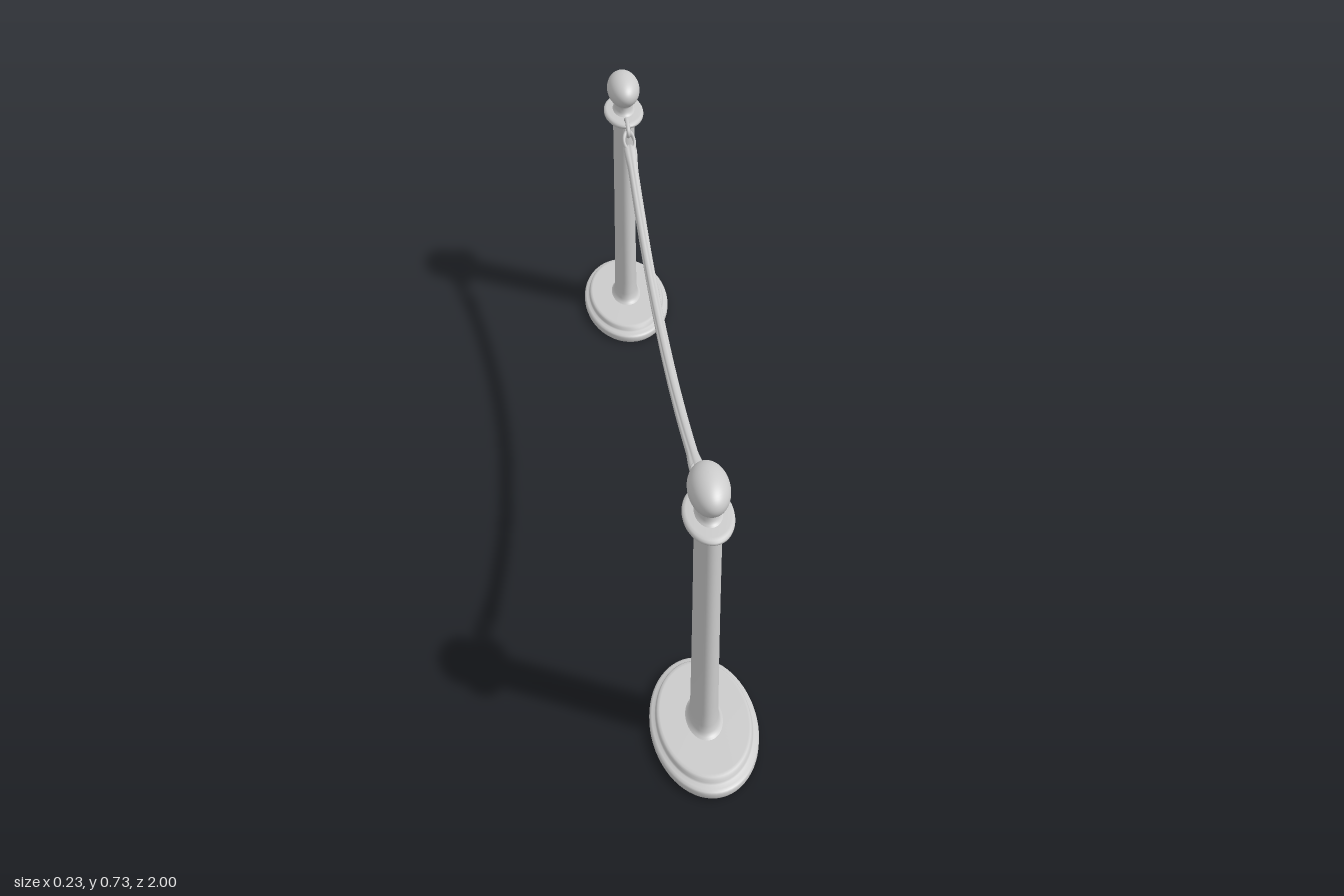
import * as THREE from 'three';

const metal = new THREE.MeshStandardMaterial({ color: 0xcccccc });
const STRETCH = 1.68; // posts are oval: longer along z
const POST_Z = 0.805;

function named(name, geometry) {
  const mesh = new THREE.Mesh(geometry, metal);
  mesh.name = name;
  return mesh;
}

function lathe(name, points) {
  const profile = points.map(([r, y]) => new THREE.Vector2(r, y));
  return named(name, new THREE.LatheGeometry(profile, 64));
}

// Oval post, turned as a circle and stretched along z
function createPost() {
  const post = new THREE.Group();
  post.name = 'post';

  // Stepped base with a dished underside
  post.add(lathe('base', [
    [0, 0.022], [0.022, 0.022], [0.03, 0.017], [0.034, 0.016], [0.086, 0.014], [0.091, 0.011],
    [0.096, 0.003], [0.1, 0], [0.11, 0], [0.115, 0.003], [0.1165, 0.008], [0.1165, 0.017],
    [0.115, 0.021], [0.111, 0.0235], [0.105, 0.025], [0.103, 0.028], [0.102, 0.034],
    [0.099, 0.038], [0.094, 0.0385], [0.03, 0.0395],
  ]));

  // Pole with a flared foot
  post.add(lathe('pole', [
    [0.042, 0.038], [0.036, 0.042], [0.0325, 0.05], [0.0305, 0.065], [0.0295, 0.1],
    [0.0285, 0.25], [0.028, 0.4], [0.028, 0.59], [0.029, 0.606], [0.032, 0.614],
  ]));

  // Collar disc with a rounded edge
  post.add(lathe('collar', [
    [0.026, 0.613], [0.044, 0.613], [0.049, 0.6145], [0.0515, 0.618], [0.052, 0.621],
    [0.0515, 0.624], [0.049, 0.6275], [0.044, 0.629], [0.026, 0.63],
  ]));

  // Neck rising into the ball finial
  const finial = [[0.031, 0.628], [0.026, 0.632], [0.0235, 0.638], [0.0225, 0.648]];
  for (let i = 0; i <= 20; i++) {
    const a = THREE.MathUtils.lerp(-0.98, Math.PI / 2, i / 20);
    finial.push([Math.max(0, 0.0425 * Math.cos(a)), 0.689 + 0.0415 * Math.sin(a)]);
  }
  post.add(lathe('finial', finial));

  post.scale.z = STRETCH;
  return post;
}

// Sagging rope: grooved oval section swept along a parabola
function createRope() {
  const steps = 120, sides = 40, half = 0.655;
  const positions = [], indices = [];
  for (let i = 0; i <= steps; i++) {
    const z = THREE.MathUtils.lerp(-half, half, i / steps);
    const y = 0.508 + 0.225 * z * z;
    const slope = Math.atan(0.45 * z);
    const end = THREE.MathUtils.smoothstep(Math.abs(z), 0.56, 0.64);
    const taper = i === 0 || i === steps ? 0.3 : 1;
    for (let j = 0; j < sides; j++) {
      const a = (j / sides) * Math.PI * 2;
      const groove = 1 - 0.14 * Math.pow(Math.cos(2.5 * a + 2 * z), 8);
      const u = Math.cos(a) * (0.013 + 0.004 * end) * groove * taper;
      const v = Math.sin(a) * 0.0115 * groove * taper;
      positions.push(u, y + v * Math.cos(slope), z - v * Math.sin(slope));
    }
  }
  for (let i = 0; i < steps; i++) {
    for (let j = 0; j < sides; j++) {
      const a = i * sides + j, b = i * sides + (j + 1) % sides;
      indices.push(a, b, a + sides, b, b + sides, a + sides);
    }
  }
  // End caps
  const last = steps * sides;
  for (let j = 1; j < sides - 1; j++) {
    indices.push(0, j + 1, j, last, last + j, last + j + 1);
  }
  const geometry = new THREE.BufferGeometry();
  geometry.setAttribute('position', new THREE.Float32BufferAttribute(positions, 3));
  geometry.setIndex(indices);
  geometry.computeVertexNormals();
  return named('rope', geometry);
}

// Ring through the collar edge, and the rope-end eye linked to it
function createLink() {
  const link = new THREE.Group();
  link.name = 'ropeLink';

  const ring = named('collarRing', new THREE.TorusGeometry(1, 0.24, 12, 40));
  ring.scale.set(0.031, 0.018, 0.022);
  ring.rotation.y = Math.PI / 2;
  ring.position.set(0, 0.623, 0.714);
  link.add(ring);

  const eye = named('ropeEye', new THREE.TorusGeometry(1, 0.3, 12, 40));
  eye.scale.set(0.0135, 0.032, 0.022);
  eye.rotation.x = Math.PI / 2 - 0.3;
  eye.position.set(0, 0.611, 0.663);
  link.add(eye);
  return link;
}

export function createModel() {
  const model = new THREE.Group();
  model.name = 'ropeBarrier';
  for (const side of [1, -1]) {
    const post = createPost();
    post.position.z = side * POST_Z;
    model.add(post);

    const link = createLink();
    link.rotation.y = side > 0 ? 0 : Math.PI;
    model.add(link);
  }
  model.add(createRope());
  return model;
}
